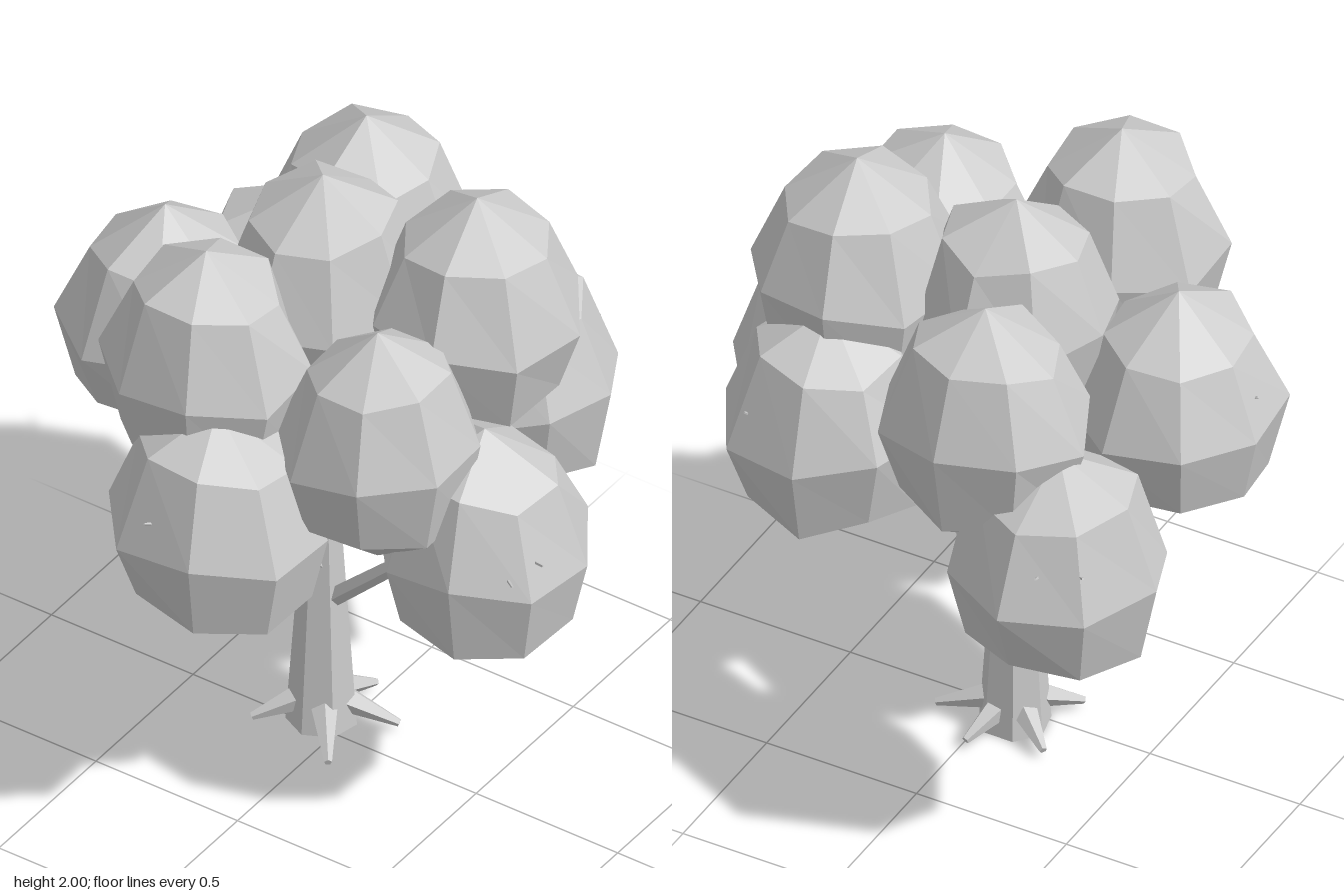
import * as THREE from 'three';

const grey = new THREE.MeshStandardMaterial({ color: 0xcccccc, flatShading: true });
grey.name = 'plain grey';

const radians = THREE.MathUtils.degToRad;

function add(parent, name, geometry) {
  const mesh = new THREE.Mesh(geometry, grey);
  mesh.name = name;
  parent.add(mesh);
  return mesh;
}

function addGroup(parent, name) {
  const group = new THREE.Group();
  group.name = name;
  parent.add(group);
  return group;
}

// Tapered limb running from one point to another
function limb(parent, name, from, to, r0, r1, sides = 5) {
  const a = new THREE.Vector3(...from), b = new THREE.Vector3(...to);
  const dir = b.clone().sub(a);
  const mesh = add(parent, name, new THREE.CylinderGeometry(r1, r0, dir.length(), sides));
  mesh.position.copy(a).add(b).multiplyScalar(0.5);
  mesh.quaternion.setFromUnitVectors(new THREE.Vector3(0, 1, 0), dir.normalize());
}

// Bottom tip, lower ring, widest ring, upper ring and top tip of a clump
const profile = [[0, -1], [0.83, -0.55], [1, 0.04], [0.7, 0.66], [0, 1]].map(([r, y]) => new THREE.Vector2(r, y));

// Lumpy faceted ball; the wobble depends on position so seams stay closed
function clumpGeometry(rx, ry, rz, turn) {
  const geo = new THREE.LatheGeometry(profile, 8);
  geo.rotateY(-radians(turn));
  const p = geo.attributes.position, v = new THREE.Vector3();
  for (let i = 0; i < p.count; i++) {
    v.fromBufferAttribute(p, i);
    const tip = Math.abs(v.y) > 0.99;
    const wobble = (k) => (tip ? 0 : Math.sin(v.x * 7.1 * k + v.y * 5.3 + v.z * 9.7 + turn * k));
    const s = 1.025 + 0.025 * wobble(1);
    p.setXYZ(i, v.x * s * rx, (v.y + 0.07 * wobble(1.7)) * ry, v.z * s * rz);
  }
  geo.computeVertexNormals();
  return geo;
}

export function createModel() {
  const tree = new THREE.Group();
  tree.name = 'tree';
  const cx = -0.077, cz = -0.05;

  // Trunk
  limb(tree, 'trunk', [cx, 0, cz], [cx, 0.72, cz], 0.108, 0.06, 7);
  limb(tree, 'upperTrunk', [cx, 0.72, cz], [cx - 0.02, 1.4, cz], 0.06, 0.035, 7);

  // Spreading roots: heading in degrees, reach
  const roots = addGroup(tree, 'roots');
  [[-17, 0.235], [52, 0.26], [135, 0.21], [217, 0.205], [-73, 0.2]].forEach(([heading, reach]) => {
    const c = Math.cos(radians(heading)), s = Math.sin(radians(heading));
    limb(roots, 'root', [cx + c * 0.05, 0.09, cz + s * 0.05], [cx + c * reach, 0.03, cz + s * reach], 0.045, 0.012);
  });

  // Branches: start, end, start radius, end radius
  const branches = addGroup(tree, 'branches');
  [
    [[-0.04, 0.46, -0.04], [0.55, 1.05, 0.04], 0.03, 0.02],
    [[-0.1, 0.55, -0.05], [-0.34, 0.88, -0.07], 0.028, 0.02],
    [[-0.07, 0.6, -0.01], [-0.06, 1.05, 0.45], 0.03, 0.018],
    [[-0.1, 0.56, -0.09], [-0.45, 1.1, -0.41], 0.028, 0.018],
    [[-0.05, 0.72, -0.08], [0.27, 1.2, -0.42], 0.026, 0.016],
    [[-0.07, 0.95, -0.03], [0.28, 1.35, 0.2], 0.024, 0.016],
    [[-0.09, 0.95, -0.08], [-0.22, 1.4, -0.42], 0.024, 0.016],
    [[-0.1, 0.95, -0.03], [-0.5, 1.3, 0.02], 0.024, 0.016],
  ].forEach(([from, to, r0, r1]) => limb(branches, 'branch', from, to, r0, r1));

  // Thin twigs whose tips poke out of the leaves
  [
    [[0.55, 1.0, 0.04], [0.86, 1.11, 0.18]],
    [[0.55, 0.98, 0.04], [0.82, 1.08, 0.28]],
    [[-0.06, 1.05, 0.45], [-0.11, 1.25, 0.82]],
    [[0.27, 1.08, -0.42], [0.48, 1.33, -0.67]],
    [[-0.45, 1.0, -0.5], [-0.69, 1.2, -0.74]],
    [[-0.45, 1.0, -0.5], [-0.57, 1.2, -0.81]],
    [[-0.5, 1.25, 0.02], [-0.85, 1.42, 0.02]],
  ].forEach(([from, to]) => limb(branches, 'twig', from, to, 0.012, 0.004, 4));

  // Leaf clumps: centre x, y, z, radii x, y, z, then turn in degrees
  const crown = addGroup(tree, 'crown');
  [
    [0.575, 1.0, 0.065, 0.32, 0.42, 0.31, 31],
    [-0.05, 1.12, 0.53, 0.335, 0.4, 0.31, 27],
    [-0.585, 1.31, 0.02, 0.31, 0.4, 0.32, 14],
    [-0.49, 1.05, -0.53, 0.33, 0.4, 0.31, 4],
    [-0.2, 1.52, 0.37, 0.31, 0.41, 0.295, 23],
    [0.33, 1.38, 0.26, 0.3, 0.41, 0.3, 22],
    [0.36, 1.6, -0.21, 0.31, 0.4, 0.32, 34],
    [0.33, 1.2, -0.43, 0.32, 0.41, 0.31, 36],
    [-0.11, 1.54, -0.1, 0.3, 0.41, 0.3, 5],
    [-0.23, 1.45, -0.5, 0.32, 0.41, 0.29, 2],
  ].forEach(([x, y, z, rx, ry, rz, turn]) => {
    add(crown, 'leafClump', clumpGeometry(rx, ry, rz, turn)).position.set(x, y, z);
  });

  return tree;
}
